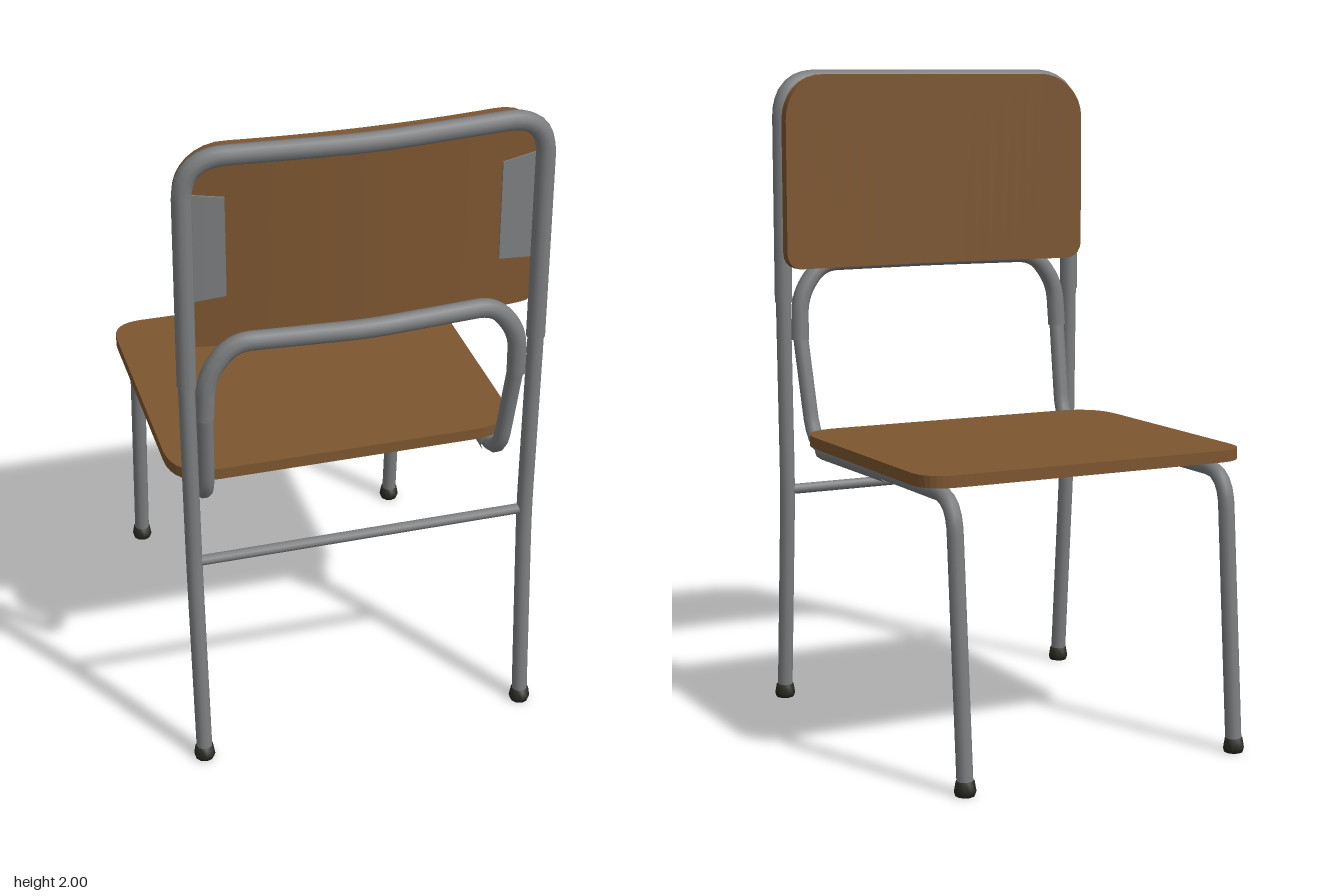
import * as THREE from 'three';

const wood = new THREE.MeshStandardMaterial({ color: 0x7d5630 });
wood.name = 'wood';
const metal = new THREE.MeshStandardMaterial({ color: 0x7c7e80 });
metal.name = 'greyMetal';
const rubber = new THREE.MeshStandardMaterial({ color: 0x26261f });
rubber.name = 'darkRubber';

// Path of straight runs joined by rounded bends
function bentPath(points, bend) {
  const p = points.map((a) => new THREE.Vector3(...a));
  const path = new THREE.CurvePath();
  let from = p[0];
  for (let i = 1; i < p.length - 1; i++) {
    const before = p[i - 1].clone().sub(p[i]);
    const after = p[i + 1].clone().sub(p[i]);
    const r = Math.min(bend, before.length() * 0.45, after.length() * 0.45);
    const a = p[i].clone().addScaledVector(before.normalize(), r);
    const b = p[i].clone().addScaledVector(after.normalize(), r);
    path.add(new THREE.LineCurve3(from, a));
    path.add(new THREE.QuadraticBezierCurve3(a, p[i], b));
    from = b;
  }
  path.add(new THREE.LineCurve3(from, p[p.length - 1]));
  return path;
}

function tube(name, points, radius, bend = 0.1, segments = 48) {
  const geo = new THREE.TubeGeometry(bentPath(points, bend), segments, radius, 10);
  const mesh = new THREE.Mesh(geo, metal);
  mesh.name = name;
  return mesh;
}

// Mirrors half a path into a full hoop; the last point lies on the centre line
const mirrored = (half) => [
  ...half,
  ...half.slice(0, -1).reverse().map(([x, y, z]) => [-x, y, z]),
];

// Backrest curvature: the middle lies further back than the ends
const backZ = (x) => 0.465 + 0.04 * (1 - (x / 0.52) ** 2);

function backrestPanel() {
  const half = 0.52, bottom = 1.385, top = 1.985;
  const geo = new THREE.BoxGeometry(2, 2, 0.035, 32, 1, 1);
  const pos = geo.attributes.position;
  const drop = (x, r) => {
    const d = Math.max(0, Math.abs(x) - (half - r));
    return r - Math.sqrt(Math.max(0, r * r - d * d));
  };
  for (let i = 0; i < pos.count; i++) {
    const x = half * Math.sin((pos.getX(i) * Math.PI) / 2);
    const y = pos.getY(i) > 0 ? top - drop(x, 0.14) : bottom + drop(x, 0.05);
    pos.setXYZ(i, x, y, backZ(x) + pos.getZ(i));
  }
  geo.computeVertexNormals();
  const mesh = new THREE.Mesh(geo, wood);
  mesh.name = 'backrest';
  return mesh;
}

// Thin fixing plate on the rear of the backrest
function fixingPlate(side) {
  const geo = new THREE.BoxGeometry(0.11, 0.33, 0.006, 4, 1, 1);
  const pos = geo.attributes.position;
  for (let i = 0; i < pos.count; i++) {
    const x = pos.getX(i) + side * 0.445;
    const y = pos.getY(i) * (0.9 + 0.8 * Math.abs(Math.abs(x) - 0.39));
    pos.setXYZ(i, x, y + 1.69, backZ(x) + 0.02 + pos.getZ(i));
  }
  geo.computeVertexNormals();
  const mesh = new THREE.Mesh(geo, metal);
  mesh.name = 'fixingPlate';
  return mesh;
}

function seat() {
  const w = 0.528, front = 0.545, back = -0.368, f = 0.1, b = 0.14;
  const s = new THREE.Shape();
  s.moveTo(-w + b, back);
  s.lineTo(w - b, back);
  s.quadraticCurveTo(w, back, w, back + b);
  s.lineTo(w, front - f);
  s.quadraticCurveTo(w, front, w - f, front);
  s.lineTo(-w + f, front);
  s.quadraticCurveTo(-w, front, -w, front - f);
  s.lineTo(-w, back + b);
  s.quadraticCurveTo(-w, back, -w + b, back);
  const geo = new THREE.ExtrudeGeometry(s, { depth: 0.035, bevelEnabled: false, curveSegments: 8 });
  geo.rotateX(-Math.PI / 2);
  const mesh = new THREE.Mesh(geo, wood);
  mesh.name = 'seat';
  mesh.position.y = 0.858;
  return mesh;
}

function foot(x, z) {
  const profile = [[0, 0], [0.028, 0], [0.032, 0.012], [0.027, 0.042], [0, 0.044]];
  const geo = new THREE.LatheGeometry(profile.map(([r, y]) => new THREE.Vector2(r, y)), 10);
  const mesh = new THREE.Mesh(geo, rubber);
  mesh.name = 'footCap';
  mesh.position.set(x, 0, z);
  return mesh;
}

export function createModel() {
  const model = new THREE.Group();
  const chair = new THREE.Group();
  chair.name = 'chair';
  model.add(chair);

  // Wooden parts
  chair.add(seat(), backrestPanel());

  for (const s of [-1, 1]) {
    // Rear leg, slotted into the upper hoop
    chair.add(tube('rearLeg', [
      [s * 0.503, 0.02, 0.56], [s * 0.505, 0.68, 0.51], [s * 0.511, 1.31, 0.51],
    ], 0.024));
    // Front leg bending into the seat rail and then up behind the seat
    chair.add(tube('frontLegAndRail', [
      [s * 0.445, 0.02, -0.615], [s * 0.445, 0.832, -0.55],
      [s * 0.445, 0.832, 0.43], [s * 0.46, 1.2, 0.505],
    ], 0.024, 0.1, 72));
    // Thicker sleeve along the seat rail
    chair.add(tube('railSleeve', [
      [s * 0.445, 0.832, -0.12], [s * 0.445, 0.828, 0.36],
    ], 0.029, 0.1, 4));
    chair.add(foot(s * 0.503, 0.56), foot(s * 0.445, -0.615));
    chair.add(fixingPlate(s));
  }

  // Upper hoop around the backrest
  chair.add(tube('upperHoop', mirrored([
    [0.51, 1.28, 0.51], [0.508, 1.971, 0.515], [0, 1.971, 0.555],
  ]), 0.028, 0.12, 96));

  // Lower hoop below the backrest
  chair.add(tube('lowerHoop', mirrored([
    [0.46, 1.16, 0.5], [0.455, 1.3, 0.51], [0.38, 1.4, 0.515], [0, 1.4, 0.545],
  ]), 0.028, 0.08, 80));

  // Cross bar between the rear legs
  chair.add(tube('crossBar', [[-0.505, 0.685, 0.51], [0.505, 0.685, 0.51]], 0.016, 0.1, 2));

  // The chair stands turned on the floor
  chair.rotation.y = 0.744;
  return model;
}
